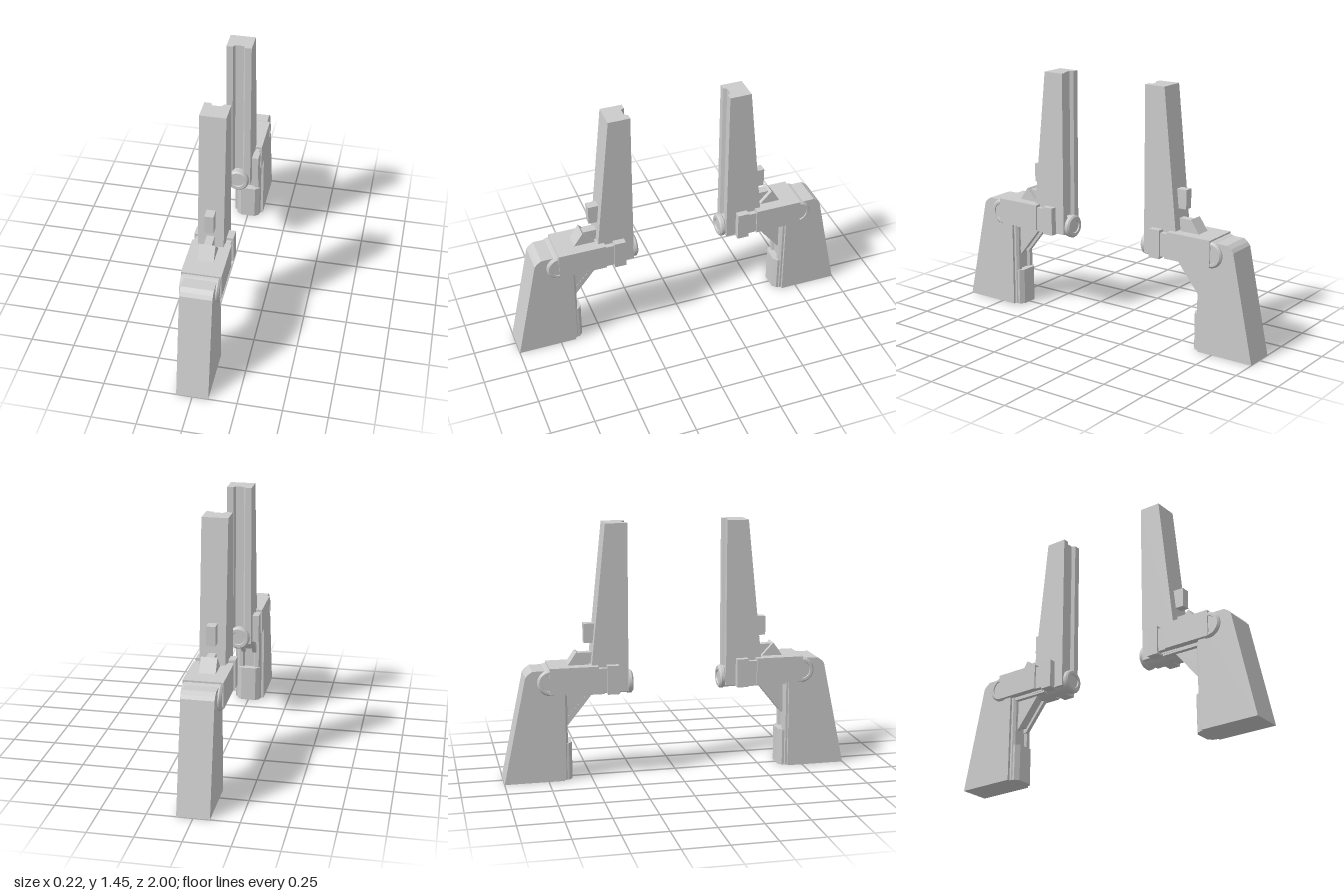
import * as THREE from 'three';

const material = new THREE.MeshStandardMaterial({ color: 0xcccccc, flatShading: true });
const smooth = new THREE.MeshStandardMaterial({ color: 0xcccccc });

function add(group, name, geometry, mat = material) {
  const mesh = new THREE.Mesh(geometry, mat);
  mesh.name = name;
  group.add(mesh);
  return mesh;
}

function shapeOf(points) {
  return new THREE.Shape(points.map(([a, b]) => new THREE.Vector2(a, b)));
}

// Side profile of [z, y] points, extruded across x and centred on x = 0
function sideProfile(points, halfWidth) {
  const g = new THREE.ExtrudeGeometry(shapeOf(points), { depth: halfWidth * 2, bevelEnabled: false });
  return g.translate(0, 0, -halfWidth).rotateY(-Math.PI / 2);
}

// Half plan of [x, z] points, mirrored in x and extruded upwards from y0 to y1
function planProfile(half, y0, y1) {
  const right = half.map(([x, z]) => [x, -z]);
  const left = half.map(([x, z]) => [-x, -z]).reverse();
  const g = new THREE.ExtrudeGeometry(shapeOf([...right, ...left]), { depth: y1 - y0, bevelEnabled: false });
  return g.rotateX(-Math.PI / 2).translate(0, y0, 0);
}

function box(halfX, y0, y1, z0, z1) {
  return new THREE.BoxGeometry(halfX * 2, y1 - y0, z1 - z0).translate(0, (y0 + y1) / 2, (z0 + z1) / 2);
}

// Turned part from [radius, height] points; repeated points keep the edges sharp
function turned(points) {
  const crisp = points.flatMap(([r, h]) => [new THREE.Vector2(r, h), new THREE.Vector2(r, h)]).slice(1, -1);
  return new THREE.LatheGeometry(crisp, 32);
}

function createStand() {
  const g = new THREE.Group();

  // Lower pillar with sloping outer face and stepped inner rails
  add(g, 'lowerPillar', sideProfile(
    [[1, 0], [0.87, 0.61], [0.855, 0.628], [0.83, 0.645], [0.66, 0.645], [0.66, 0]], 0.09));
  add(g, 'lowerPillarRail', planProfile(
    [[0.03, 0.65], [0.038, 0.635], [0.062, 0.635], [0.075, 0.648], [0.075, 0.67]], 0, 0.52));
  add(g, 'lowerPillarFoot', planProfile(
    [[0.045, 0.61], [0.07, 0.63], [0.07, 0.67]], 0, 0.215));

  // Upper pillar: grooved plan whose outer face leans inwards with height
  const upper = planProfile(
    [[0.024, 0.305], [0.035, 0.285], [0.072, 0.285], [0.072, 0.51]], 0.5, 1.455);
  const pos = upper.attributes.position;
  for (let i = 0; i < pos.count; i++) {
    if (pos.getZ(i) > 0.5 && pos.getY(i) > 1) pos.setZ(i, 0.41);
  }
  upper.computeVertexNormals();
  add(g, 'upperPillar', upper);
  add(g, 'sightBlock', box(0.025, 0.78, 0.89, 0.45, 0.53));

  // Horizontal arm linking the two pillars
  add(g, 'arm', box(0.11, 0.51, 0.66, 0.46, 0.735));
  add(g, 'armNeck', box(0.1, 0.51, 0.645, 0.4, 0.47));
  add(g, 'armClamp', box(0.11, 0.495, 0.66, 0.342, 0.41));
  add(g, 'armUnderside', box(0.07, 0.49, 0.52, 0.42, 0.73));

  // Round hinge caps on both sides of the arm
  for (const side of [-1, 1]) {
    const cap = add(g, side > 0 ? 'leftHingeCap' : 'rightHingeCap', turned(
      [[0.074, 0], [0.074, 0.098], [0.064, 0.108], [0.05, 0.108], [0.048, 0.102], [0, 0.102]]), smooth);
    cap.rotation.z = -side * Math.PI / 2;
    cap.position.set(0, 0.577, 0.731);
  }

  // Barrel running under the upper pillar, with a ringed end
  const barrel = add(g, 'barrel', turned(
    [[0, 0], [0.062, 0], [0.062, 0.215], [0.067, 0.22], [0.067, 0.238], [0.058, 0.247],
      [0.04, 0.247], [0.037, 0.24], [0, 0.24]]), smooth);
  barrel.rotation.x = -Math.PI / 2;
  barrel.position.set(0, 0.541, 0.5);

  // Wedge above the arm and the tab behind it
  add(g, 'wedge', sideProfile([[0.63, 0.655], [0.575, 0.735], [0.5, 0.655]], 0.045));
  add(g, 'wedgeTab', box(0.022, 0.65, 0.725, 0.47, 0.57));

  // Diagonal brace below the arm with two raised edge rails
  add(g, 'brace', sideProfile([[0.65, 0.34], [0.63, 0.34], [0.505, 0.5], [0.65, 0.5]], 0.045));
  for (const x of [-0.035, 0.035]) {
    add(g, 'braceRail', sideProfile(
      [[0.65, 0.315], [0.63, 0.315], [0.49, 0.49], [0.51, 0.5], [0.65, 0.345]], 0.012)).position.x = x;
  }
  return g;
}

export function createModel() {
  const model = new THREE.Group();
  const front = createStand();
  front.name = 'frontStand';
  const back = createStand();
  back.name = 'backStand';
  back.rotation.y = Math.PI;
  model.add(front, back);
  return model;
}
